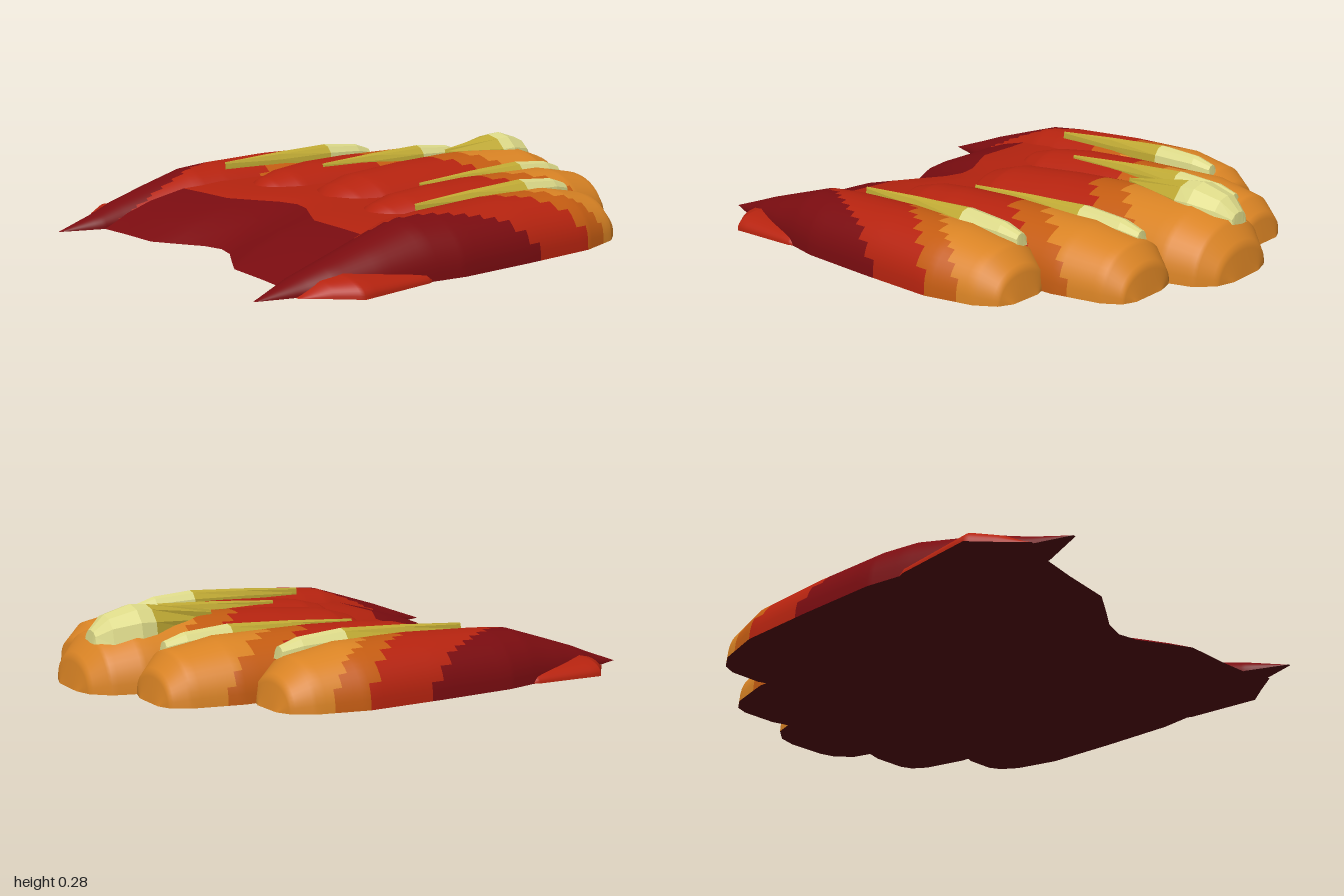
import * as THREE from 'three';

const material = (name, color) => {
  const m = new THREE.MeshStandardMaterial({ color });
  m.name = name;
  return m;
};

export function createModel() {
  const model = new THREE.Group();
  model.name = 'lobedShell';
  const gold = material('gold', 0xd98324);
  const orange = material('burntOrange', 0xc45c12);
  const red = material('red', 0xb5230f);
  const dark = material('darkRed', 0x7a0c10);
  const under = material('undersideMaroon', 0x5a0810);
  const pale = material('paleYellow', 0xdcd988);
  const olive = material('oliveYellow', 0xc0aa34);

  // Grid surface: rows run towards +z, columns towards +x; pick() chooses a material per cell
  function surface(name, rows, cols, point, mats, pick = () => 0, flat = false) {
    const pos = [];
    for (let r = 0; r <= rows; r++)
      for (let c = 0; c <= cols; c++) pos.push(...point(r, c));
    const lists = mats.map(() => []);
    for (let r = 0; r < rows; r++)
      for (let c = 0; c < cols; c++) {
        const a = r * (cols + 1) + c, b = a + cols + 1;
        lists[pick(r + 0.5, c + 0.5)].push(a, b, a + 1, a + 1, b, b + 1);
      }
    let geo = new THREE.BufferGeometry();
    geo.setAttribute('position', new THREE.Float32BufferAttribute(pos, 3));
    geo.setIndex(lists.flat());
    let start = 0;
    lists.forEach((list, i) => {
      if (list.length) geo.addGroup(start, list.length, i);
      start += list.length;
    });
    if (flat) geo = geo.toNonIndexed();
    geo.computeVertexNormals();
    const mesh = new THREE.Mesh(geo, mats);
    mesh.name = name;
    model.add(mesh);
  }

  // Domed loft through stations [z, innerX, outerX, height]; side -1 mirrors it
  function dome(name, stations, side, o) {
    const { mats, zone = () => 0, sub = 6, cols = 24, y0 = 0, power = 0.85, flat = false } = o;
    const rows = (stations.length - 1) * sub;
    const at = (r) => {
      const i = Math.min(Math.floor(r / sub), stations.length - 2);
      const f = r / sub - i;
      const [z, a, b, h] = stations[i].map((v, k) => v + (stations[i + 1][k] - v) * f);
      return side > 0 ? [z, a, b, h] : [z, -b, -a, h];
    };
    const point = (r, c) => {
      const [z, a, b, h] = at(r), t = Math.PI * (1 - c / cols);
      const s = Math.max(0, Math.sin(t));
      return [(a + b) / 2 + Math.cos(t) * (b - a) / 2, y0 + (h - y0) * s ** power, z];
    };
    const pick = (r, c) => zone(at(r)[0], -Math.cos(Math.PI * c / cols) * side);
    surface(name, rows, cols, point, mats, pick, flat);
    if (y0 === 0)
      surface(name + 'Underside', rows, 1, (r, c) => {
        const [z, a, b] = at(r);
        return [c ? a : b, 0, z];
      }, [under]);
  }

  // Colour bands [ridge z, outward slope, chevron depth]
  const bands = (...list) => (z, u) =>
    list.filter(([b, s, v]) => z > b - s * u - v * Math.abs(u)).length;
  const lobeMats = [gold, orange, red, dark];

  // Central lobe
  dome('centreLobe', [
    [-1, -0.08, 0.08, 0], [-0.98, -0.15, 0.15, 0.11], [-0.92, -0.21, 0.21, 0.185],
    [-0.8, -0.245, 0.245, 0.225], [-0.5, -0.235, 0.235, 0.23], [-0.2, -0.225, 0.225, 0.22],
    [0.05, -0.225, 0.225, 0.2], [0.16, -0.19, 0.19, 0.17], [0.26, -0.09, 0.09, 0.1],
  ], 1, { mats: lobeMats, zone: bands([-0.46, 0, 0.24], [-0.32, 0, 0.2]) });

  for (const side of [1, -1]) {
    const prefix = side > 0 ? 'left' : 'right';
    // Middle lobes
    dome(prefix + 'MiddleLobe', [
      [-0.86, 0.3, 0.44, 0], [-0.84, 0.23, 0.49, 0.1], [-0.78, 0.18, 0.53, 0.165],
      [-0.6, 0.16, 0.57, 0.2], [-0.2, 0.16, 0.56, 0.205], [0, 0.17, 0.55, 0.2],
      [0.15, 0.17, 0.53, 0.185], [0.25, 0.21, 0.48, 0.16], [0.35, 0.28, 0.39, 0.09],
    ], side, { mats: lobeMats, zone: bands([-0.4, 0.1, 0.15], [-0.25, 0.08, 0.15]) });
    // Outer lobes, running on to the pointed front tips
    dome(prefix + 'OuterLobe', [
      [-0.575, 0.6, 0.72, 0], [-0.55, 0.53, 0.77, 0.1], [-0.48, 0.48, 0.815, 0.16],
      [-0.3, 0.46, 0.857, 0.195], [0, 0.46, 0.855, 0.2], [0.3, 0.47, 0.845, 0.19],
      [0.43, 0.49, 0.82, 0.18], [0.6, 0.53, 0.785, 0.13], [0.75, 0.56, 0.745, 0.085],
      [0.85, 0.575, 0.7, 0.05], [1, 0.635, 0.645, 0],
    ], side, { mats: lobeMats, zone: bands([-0.2, 0.22, 0], [-0.05, 0.24, 0], [0.38, 0.42, 0]) });
    // Low fins beside the tips
    dome(prefix + 'SideFin', [
      [0.4, 0.7, 0.81, 0], [0.45, 0.65, 0.828, 0.04], [0.73, 0.6, 0.845, 0.06],
      [0.8, 0.6, 0.775, 0.045], [0.88, 0.62, 0.7, 0],
    ], side, { mats: [red] });
    // Slender claws on the middle and outer lobes
    for (const [name, x, z0] of [['MiddleClaw', 0.29, -0.77], ['OuterClaw', 0.575, -0.485]]) {
      const stations = [
        [0, 0.025, 0.14], [0.005, 0.028, 0.185], [0.08, 0.043, 0.21], [0.25, 0.055, 0.225],
        [0.5, 0.03, 0.216], [0.77, 0.006, 0.2],
      ].map(([z, w, h]) => [z0 + z, x - w, x + w, h]);
      dome(prefix + name, stations, side, {
        mats: [pale, olive], zone: (z) => (z > z0 + 0.25 ? 1 : 0),
        sub: 1, cols: 6, y0: 0.14, power: 0.7, flat: true,
      });
    }
  }

  // Broad claw on the central lobe
  dome('centreClaw', [
    [-0.935, 0.045, 0.16], [-0.93, 0.05, 0.205], [-0.88, 0.09, 0.255], [-0.78, 0.115, 0.285],
    [-0.72, 0.105, 0.28], [-0.46, 0.006, 0.24],
  ].map(([z, w, h]) => [z, -0.05 - w, -0.05 + w, h]), 1, {
    mats: [pale, olive], zone: (z) => (z > -0.72 ? 1 : 0),
    sub: 1, cols: 6, y0: 0.16, power: 0.85, flat: true,
  });

  // Palm: sloping slab with a notched front edge
  const edge = [[0, 0.69], [0.08, 0.71], [0.19, 0.775], [0.27, 0.82], [0.45, 0.83], [0.6, 0.845]];
  const front = [...edge.slice(1).reverse().map(([x, z]) => [-x, z]), ...edge];
  const slope = [[1.1, 0.135], [0.8, 0.135], [0.5, 0.135], [0.34, 0.12], [0.2, 0.085], [0.1, 0.05], [0, 0]];
  const cols = front.length - 1;
  surface('palm', slope.length - 1, cols,
    (r, c) => [front[c][0], slope[r][1], front[c][1] - slope[r][0]],
    [red, dark], (r) => (r > 3 ? 1 : 0));
  surface('palmUnderside', 1, cols, (r, c) => {
    const [x, z] = front[cols - c];
    return [x, 0, r ? z : z - 1.1];
  }, [under]);

  return model;
}
